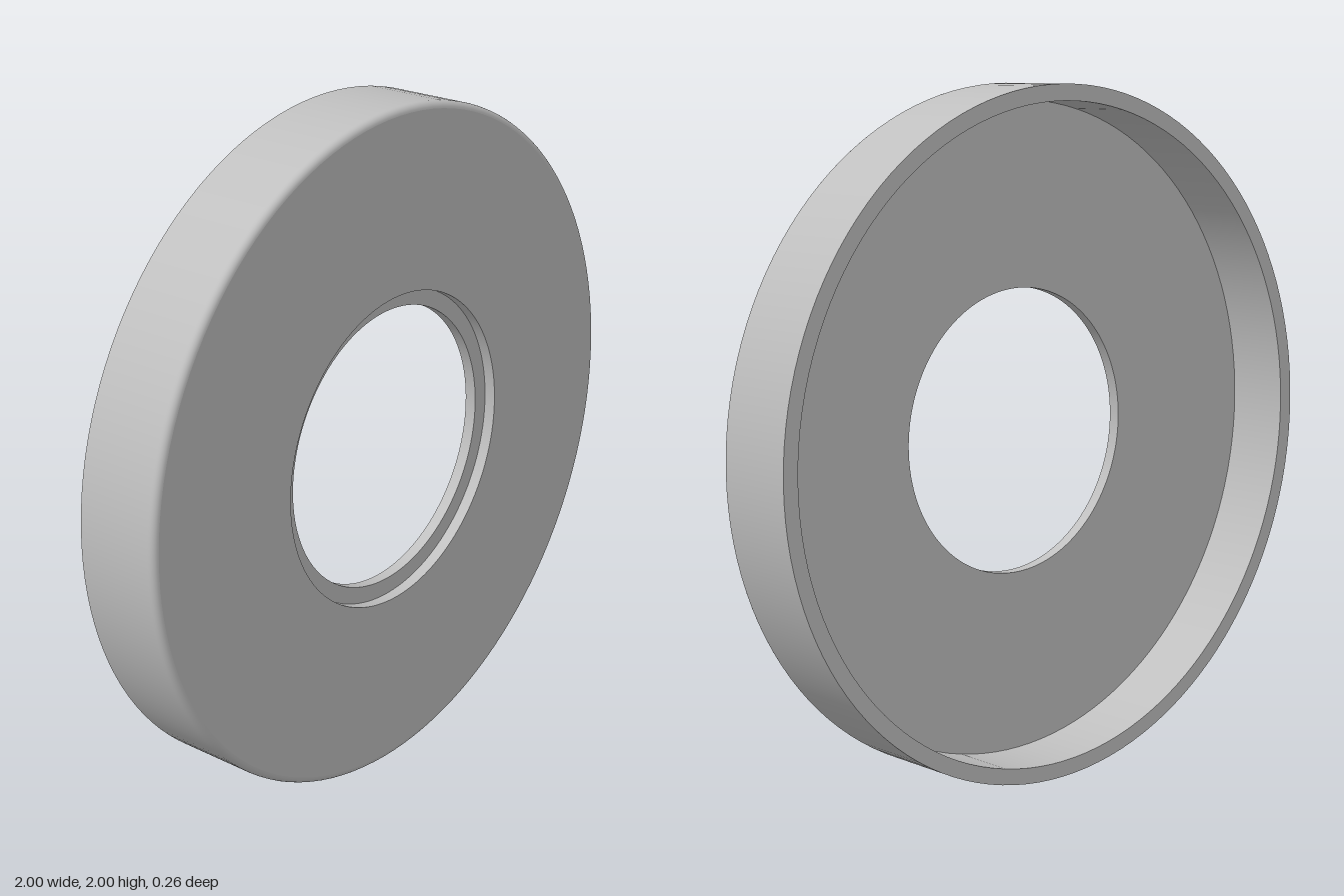
import * as THREE from 'three';
import { mergeGeometries } from 'three/addons/utils/BufferGeometryUtils.js';

const SEGMENTS = 128;
const BACK = -0.13, FRONT = 0.13; // overall depth
const OUTER = 1, RIM_INNER = 0.953; // rim radii
const FLOOR = 0.06; // depth of the rear recess
const SEAT_R = 0.468, BORE = 0.418, SEAT_Z = 0.095; // stepped centre hole
const FILLET = 0.02;

// Revolve each [radius, z] section about z; separate sections keep crisp edges between them
function revolve(sections) {
  const parts = sections.map((section) =>
    new THREE.LatheGeometry(section.map(([r, z]) => new THREE.Vector2(r, z)), SEGMENTS));
  return mergeGeometries(parts).rotateX(Math.PI / 2);
}

export function createModel() {
  const group = new THREE.Group();
  const grey = new THREE.MeshStandardMaterial({ color: 0xbfbfbf });
  grey.name = 'light grey';

  const add = (name, sections) => {
    const mesh = new THREE.Mesh(revolve(sections), grey);
    mesh.name = name;
    mesh.position.y = 1;
    group.add(mesh);
  };

  // Rounded front edge
  const fillet = [];
  for (let i = 0; i <= 6; i++) {
    const a = (i / 6) * Math.PI / 2;
    fillet.push([OUTER - FILLET + FILLET * Math.cos(a), FRONT - FILLET + FILLET * Math.sin(a)]);
  }

  // Outer wall, with its rear lip and inner face
  add('rim', [
    [[RIM_INNER, FLOOR], [RIM_INNER, BACK]],
    [[RIM_INNER, BACK], [OUTER, BACK]],
    [[OUTER, BACK], [OUTER, FRONT - FILLET]],
    fillet,
  ]);

  // Flat front disc and the recessed floor behind it
  add('facePlate', [
    [[OUTER - FILLET, FRONT], [SEAT_R, FRONT]],
    [[BORE, FLOOR], [RIM_INNER, FLOOR]],
  ]);

  // Stepped centre hole
  add('steppedBore', [
    [[SEAT_R, FRONT], [SEAT_R, SEAT_Z]],
    [[SEAT_R, SEAT_Z], [BORE, SEAT_Z]],
    [[BORE, SEAT_Z], [BORE, FLOOR]],
  ]);

  return group;
}
